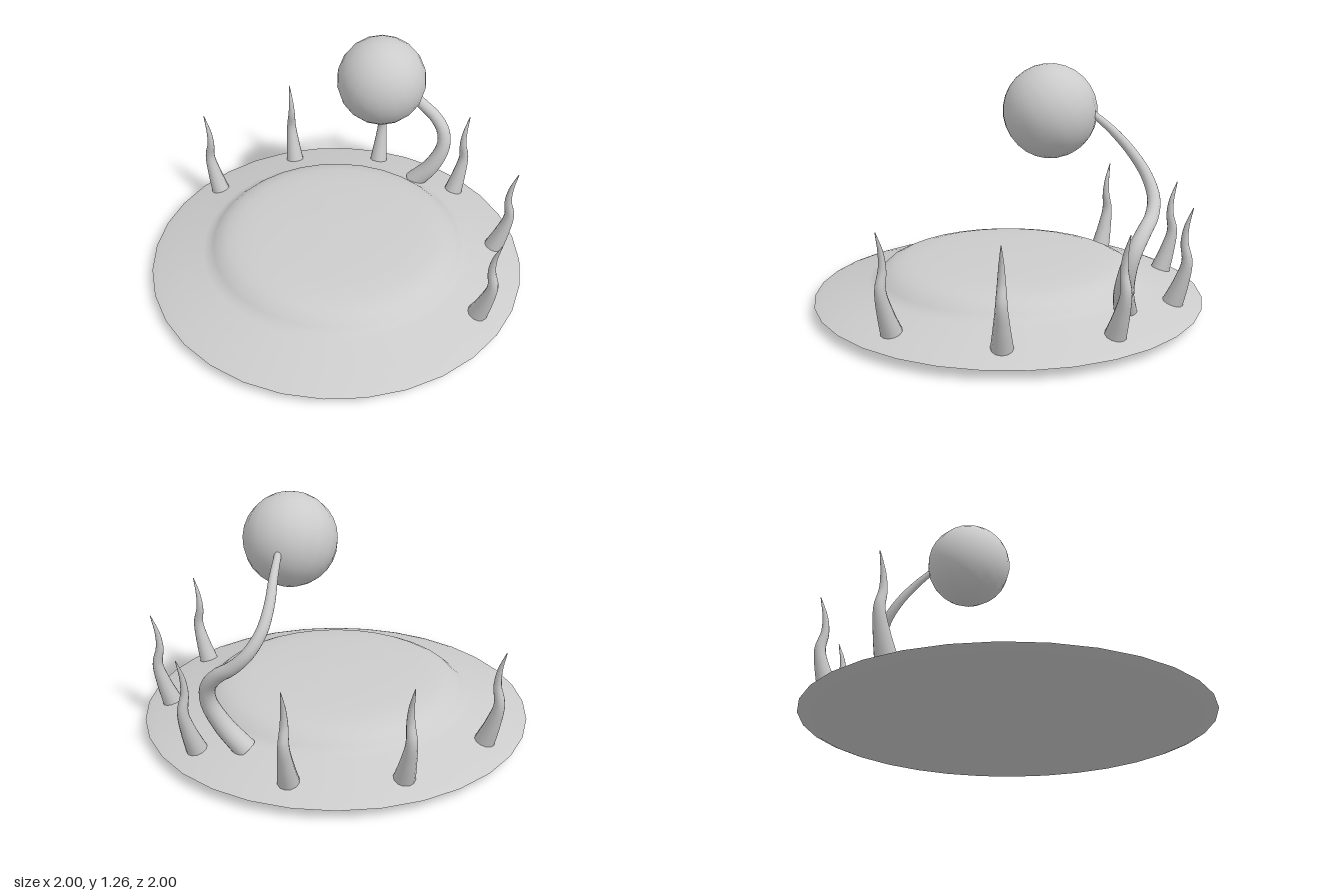
import * as THREE from 'three';

const material = new THREE.MeshStandardMaterial({ color: 0xcccccc, side: THREE.DoubleSide });

function addMesh(parent, name, geometry) {
  const mesh = new THREE.Mesh(geometry, material);
  mesh.name = name;
  parent.add(mesh);
  return mesh;
}

// Surface of revolution, listed from bottom to top as [radius, height]
function lathe(profile) {
  return new THREE.LatheGeometry(profile.map(([r, y]) => new THREE.Vector2(r, y)), 32);
}

// Tube along a smooth path whose radius follows a list of evenly spaced values
function taperedTube(points, radii, rings, sides) {
  const curve = new THREE.CatmullRomCurve3(points.map((p) => new THREE.Vector3(...p)));
  const geometry = new THREE.TubeGeometry(curve, rings, 1, sides);
  const position = geometry.attributes.position;
  const v = new THREE.Vector3();
  for (let i = 0; i <= rings; i++) {
    const centre = curve.getPointAt(i / rings);
    const t = (i / rings) * (radii.length - 1);
    const k = Math.min(Math.floor(t), radii.length - 2);
    const radius = THREE.MathUtils.lerp(radii[k], radii[k + 1], t - k);
    for (let j = 0; j <= sides; j++) {
      const n = i * (sides + 1) + j;
      v.fromBufferAttribute(position, n).sub(centre).multiplyScalar(radius).add(centre);
      position.setXYZ(n, v.x, v.y, v.z);
    }
  }
  return geometry;
}

export function createModel() {
  const model = new THREE.Group();
  model.name = 'tentacledDisc';

  // Saucer body: shallow underside and a raised dome inside a sloping brim
  addMesh(model, 'underside', lathe([[0, 0], [0.4, 0.004], [0.7, 0.013], [0.88, 0.027], [0.97, 0.04], [1, 0.052]]));
  addMesh(model, 'domedTop', lathe([
    [1, 0.052], [0.96, 0.068], [0.85, 0.1], [0.72, 0.137], [0.69, 0.147], [0.665, 0.168],
    [0.635, 0.195], [0.59, 0.217], [0.53, 0.232], [0.43, 0.243], [0.25, 0.251], [0, 0.255],
  ]));

  // Curling stalk that carries the ball
  addMesh(model, 'stalk', taperedTube([
    [0.02, 0.12, -0.735], [0.11, 0.24, -0.78], [0.153, 0.37, -0.825], [0.135, 0.46, -0.845],
    [0.07, 0.535, -0.85], [-0.01, 0.59, -0.84], [-0.075, 0.66, -0.81], [-0.108, 0.75, -0.75],
    [-0.098, 0.85, -0.675], [-0.06, 0.95, -0.59], [-0.02, 1.03, -0.5],
  ], [0.055, 0.047, 0.038, 0.034, 0.03, 0.026, 0.022, 0.016], 40, 16));

  // Ball at the end of the stalk
  const ball = addMesh(model, 'ball', new THREE.SphereGeometry(0.226, 18, 14));
  ball.position.set(0.055, 1.032, -0.305);
  ball.rotation.set(0.5, 0, -0.3);

  // Wavy spines around the back half of the brim, each swaying outward
  const spineGeometry = taperedTube([
    [0.862, 0.09, 0], [0.9, 0.2, 0], [0.925, 0.31, 0], [0.909, 0.4, 0], [0.915, 0.48, 0], [0.944, 0.578, 0],
  ], [0.052, 0.04, 0.029, 0.021, 0.013, 0.002], 20, 12);
  const spines = new THREE.Group();
  spines.name = 'spines';
  model.add(spines);
  [[0.94, -0.04], [0.74, -0.58], [0.265, -0.9], [-0.31, -0.88], [-0.77, -0.55], [-0.945, 0]].forEach(([x, z], i) => {
    addMesh(spines, `spine${i + 1}`, spineGeometry).rotation.y = Math.atan2(-z, x);
  });

  return model;
}
